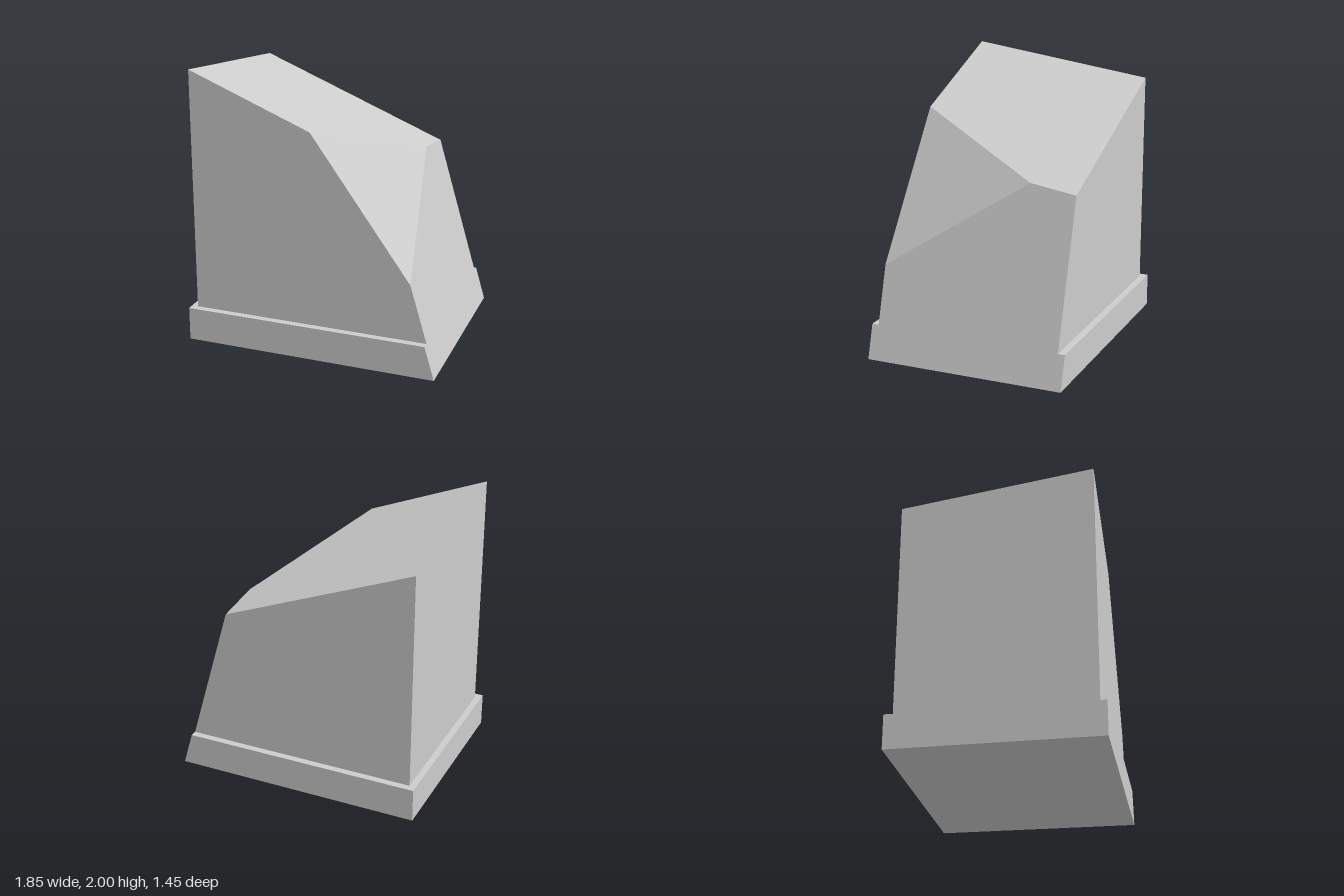
import * as THREE from 'three';
import { ConvexGeometry } from 'three/addons/geometries/ConvexGeometry.js';

const LEFT = -0.88, DEPTH = 0.677;            // body left wall and half depth
const BASE_LEFT = -0.926, BASE_DEPTH = 0.727; // plinth left wall and half depth
const BASE_TOP = 0.243;

// Leaning side wall: x for a given height and depth
const wallX = (y, z) => 0.9025 + 0.0241 * z - 0.295 * y;
// Sloping roof: height at a given x and z
const roofY = (x, z) => 2 - 0.396 * (x - LEFT) - 0.137 * (DEPTH - z);

const onWall = (y, z) => new THREE.Vector3(wallX(y, z), y, z);
const onRoof = (x, z) => new THREE.Vector3(x, roofY(x, z), z);

// Point where the roof meets the leaning wall at depth z
function eave(z) {
  let x = 0.5;
  for (let i = 0; i < 20; i++) x = wallX(roofY(x, z), z);
  return onRoof(x, z);
}

export function createModel() {
  const group = new THREE.Group();
  const grey = new THREE.MeshStandardMaterial({ color: 0xcccccc });
  grey.name = 'light grey';

  const addSolid = (name, points) => {
    const mesh = new THREE.Mesh(new ConvexGeometry(points), grey);
    mesh.name = name;
    group.add(mesh);
  };

  // Plinth: stepped out on three sides, flush with the leaning wall
  const plinth = [];
  for (const z of [-BASE_DEPTH, BASE_DEPTH])
    for (const y of [0, BASE_TOP])
      plinth.push(new THREE.Vector3(BASE_LEFT, y, z), onWall(y, z));
  addSolid('plinth', plinth);

  // Body: sloped roof, leaning wall and one cut-off front corner
  const body = [
    onRoof(0.005, DEPTH), onWall(0.655, DEPTH), eave(-0.34), // corner cut
    eave(-DEPTH),
  ];
  for (const z of [-DEPTH, DEPTH])
    body.push(onRoof(LEFT, z), new THREE.Vector3(LEFT, BASE_TOP, z), onWall(BASE_TOP, z));
  addSolid('body', body);

  return group;
}
